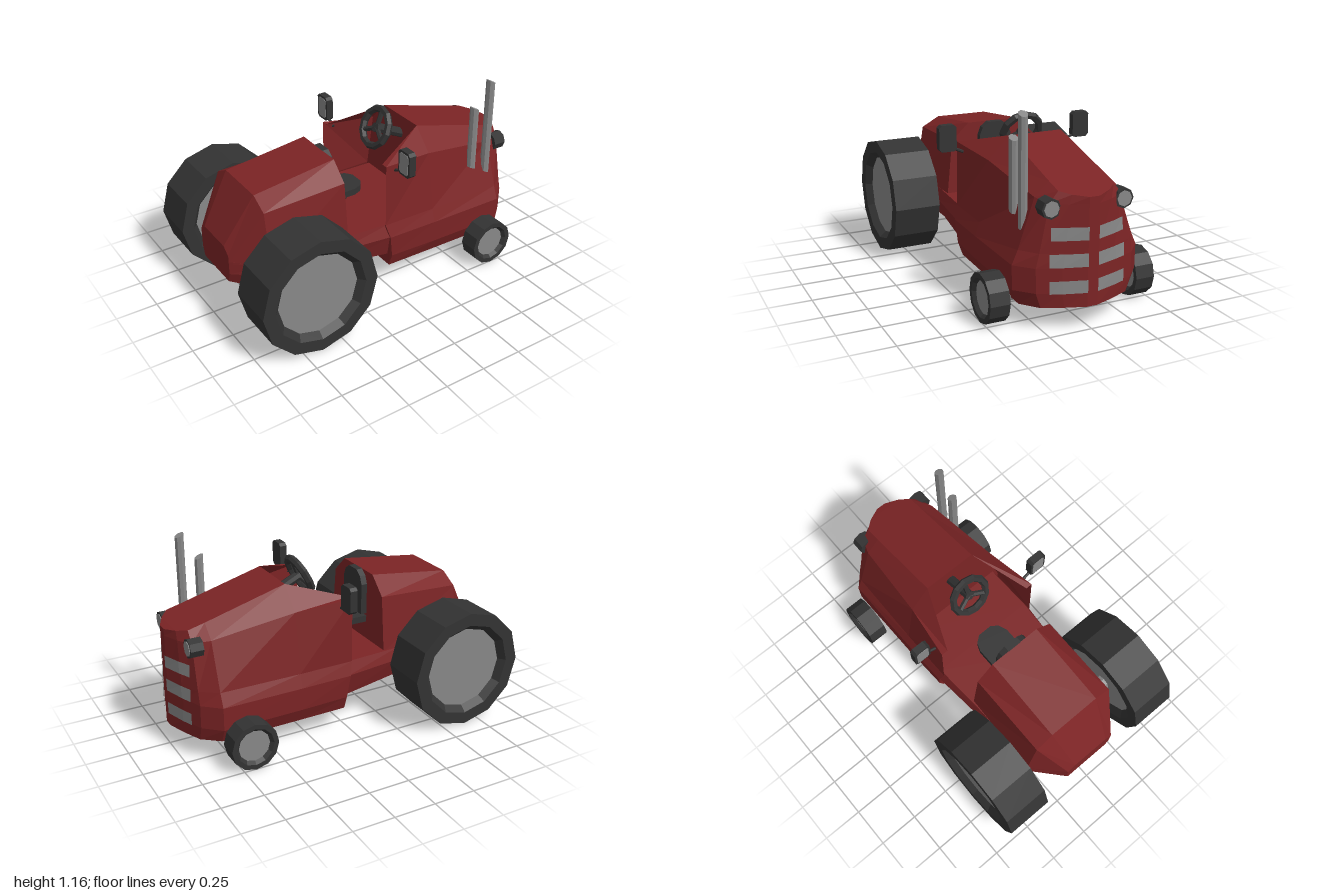
import * as THREE from 'three';

const V = (x, y, z) => new THREE.Vector3(x, y, z);
const paint = (color) => new THREE.MeshStandardMaterial({ color, flatShading: true, side: THREE.DoubleSide });

// Flat-shaded geometry from a list of corner points, three per face
function faces(points) {
  const g = new THREE.BufferGeometry().setFromPoints(points);
  g.computeVertexNormals();
  return g;
}

// Half section [x, y, z] listed bottom to top, mirrored into a full ring
const ring = (half) => {
  const left = half.map((p) => V(...p));
  return [...left, ...left.slice().reverse().map((p) => V(p.x, p.y, -p.z))];
};

function cap(r, flip) {
  const out = [];
  for (let i = 1; i < r.length - 1; i++) out.push(r[0], ...(flip ? [r[i + 1], r[i]] : [r[i], r[i + 1]]));
  return out;
}

// Skin between successive rings; openTop leaves out the roof of the first bay
function loft(halves, { capStart = true, capEnd = true, openTop = false } = {}) {
  const rings = halves.map(ring), n = rings[0].length, out = [];
  for (let k = 0; k < rings.length - 1; k++) {
    for (let j = 0; j < n; j++) {
      if (openTop && k === 0 && j === n / 2 - 1) continue;
      const i = (j + 1) % n;
      const a = rings[k][j], b = rings[k + 1][j], c = rings[k + 1][i], d = rings[k][i];
      out.push(a, b, c, a, c, d);
    }
  }
  if (capStart) out.push(...cap(rings[0], false));
  if (capEnd) out.push(...cap(rings[rings.length - 1], true));
  return faces(out);
}

// Hood stations: sill, low side, side, belt, shoulder, top
const HOOD = [
  [[.02, .135, .33], [.02, .22, .36], [.0, .36, .37], [-.02, .44, .345], [-.02, .83, .34], [-.02, .83, .3]],
  [[.32, .135, .335], [.32, .22, .372], [.32, .36, .377], [.32, .44, .35], [.32, .795, .29], [.32, .925, .165]],
  [[.81, .135, .34], [.81, .22, .378], [.81, .36, .38], [.81, .44, .345], [.81, .715, .25], [.81, .79, .165]],
  [[.91, .135, .26], [.91, .22, .288], [.91, .36, .29], [.91, .44, .27], [.91, .705, .215], [.91, .765, .165]],
  [[.96, .135, .145], [.96, .22, .16], [.96, .36, .16], [.96, .44, .15], [.96, .7, .125], [.96, .752, .11]],
  [[1, .135, .03], [1, .22, .03], [1, .36, .03], [1, .44, .03], [1, .7, .03], [1, .74, .03]],
];

// Width of a hood station at height y
function widthAt(station, y) {
  let j = 0;
  while (j < 4 && station[j + 1][1] < y) j++;
  const [a, b] = [station[j], station[j + 1]];
  return THREE.MathUtils.lerp(a[2], b[2], (y - a[1]) / (b[1] - a[1]));
}

// Grille slot that follows the folded nose
function slot(y0, y1, zEnd, side) {
  const column = (y) => {
    const zs = [5, 4, 3].map((k) => widthAt(HOOD[k], y));
    const xEnd = THREE.MathUtils.lerp(.96, .91, (zEnd - zs[1]) / (zs[2] - zs[1]));
    return [[1, zs[0]], [.96, zs[1]], [xEnd, zEnd]].map(([x, z]) => V(x + .006, y, z * side));
  };
  const lo = column(y0), hi = column(y1), out = [];
  for (let i = 0; i < 2; i++) {
    const q = side > 0 ? [lo[i + 1], lo[i], hi[i], hi[i + 1]] : [lo[i], lo[i + 1], hi[i + 1], hi[i]];
    out.push(q[0], q[1], q[2], q[0], q[2], q[3]);
  }
  return faces(out);
}

export function createModel() {
  const model = new THREE.Group();
  const red = paint(0x7c2425), dark = paint(0x333333), grey = paint(0x888888);

  const add = (name, geometry, material, parent = model) => {
    const mesh = new THREE.Mesh(geometry, material);
    mesh.name = name;
    parent.add(mesh);
    return mesh;
  };
  // Straight round bar between two points
  const bar = (name, a, b, r, material, sides = 8, parent = model) => {
    const m = add(name, new THREE.CylinderGeometry(r, r, a.distanceTo(b), sides), material, parent);
    m.position.copy(a).add(b).multiplyScalar(.5);
    m.quaternion.setFromUnitVectors(V(0, 1, 0), b.clone().sub(a).normalize());
    return m;
  };

  // Bodywork
  add('hood', loft(HOOD, { capStart: false, openTop: true }), red);
  add('firewall', faces(cap(ring(HOOD[1]), false)), red);
  add('hoodRearPanel', faces(cap(ring(HOOD[0].slice(0, 4)), false)), red);
  add('chassis', loft([
    [[-.955, .3, .15], [-.955, .36, .17], [-.955, .44, .17]],
    [[-.775, .26, .3], [-.775, .37, .335], [-.775, .44, .325]],
    [[-.35, .26, .3], [-.35, .37, .333], [-.35, .44, .315]],
    [[.02, .22, .33], [.02, .36, .366], [.02, .44, .338]],
    [[.33, .22, .3], [.33, .36, .34], [.33, .44, .33]],
  ]), red);
  add('tail', loft([
    [[-.955, .43, .17], [-.955, .48, .17], [-.955, .52, .12]],
    [[-.775, .43, .33], [-.775, .75, .275], [-.775, .81, .165]],
    [[-.26, .43, .31], [-.26, .77, .275], [-.26, .875, .165]],
  ]), red);

  // Grille slots, three rows each side
  for (const side of [1, -1])
    for (const [y0, y1, z] of [[.216, .288, .225], [.362, .436, .225], [.508, .58, .215]])
      add('grilleSlot', slot(y0, y1, z, side), grey);

  // Wheels and axles
  const wheel = (name, x, y, z, R, face, rim, h, dish) => {
    const g = new THREE.Group();
    g.name = name;
    const profile = [[rim, dish - h], [face, -h], [R, -h], [R, h], [face, h], [rim, h - dish]];
    add('tyre', new THREE.LatheGeometry(profile.map((p) => new THREE.Vector2(...p)), 12), dark, g);
    add('hub', new THREE.CylinderGeometry(rim, rim, 2 * (h - dish), 12), grey, g);
    g.rotation.x = Math.PI / 2;
    g.position.set(x, y, z);
    model.add(g);
  };
  for (const s of [1, -1]) {
    wheel('rearWheel', -.64, .363, s * .498, .36, .285, .25, .142, .04);
    wheel('frontWheel', .68, .146, s * .448, .142, .113, .095, .058, .02);
  }
  bar('rearAxle', V(-.66, .363, -.4), V(-.66, .363, .4), .048, grey);
  bar('frontAxle', V(.68, .147, -.41), V(.68, .147, .41), .045, grey);

  // Exhaust pipes with slanted ends
  for (const [x, y0, y1] of [[.65, .6, 1.0], [.762, .54, 1.15]]) {
    const g = new THREE.CylinderGeometry(.027, .027, y1 - y0, 8);
    const p = g.attributes.position;
    for (let i = 0; i < p.count; i++) p.setY(i, p.getY(i) - p.getX(i) * .5);
    add('exhaustPipe', g, grey).position.set(x, (y0 + y1) / 2, .293);
  }

  // Headlamps and mirrors
  for (const s of [1, -1]) {
    bar('headlampCase', V(.86, .682, s * .216), V(.938, .682, s * .216), .056, dark);
    bar('headlampLens', V(.93, .682, s * .216), V(.942, .682, s * .216), .044, grey);

    const outline = (w, h, c) => new THREE.Shape([
      [-w + c, -h], [w - c, -h], [w, c - h], [w, h - c], [w - c, h], [c - w, h], [-w, h - c], [-w, c - h],
    ].map((p) => new THREE.Vector2(...p)));
    const mirror = new THREE.Group();
    mirror.name = 'mirror';
    add('mirrorCase', new THREE.ExtrudeGeometry(outline(.053, .078, .016), { depth: .044, bevelEnabled: false }), dark, mirror);
    add('mirrorGlass', new THREE.ExtrudeGeometry(outline(.04, .064, .012), { depth: .004, bevelEnabled: false }), grey, mirror)
      .position.z = -.003;
    mirror.rotation.y = Math.PI / 2;
    mirror.position.set(.034, .878, s * .433);
    model.add(mirror);
    bar('mirrorArm', V(.05, .785, s * .33), V(.055, .825, s * .42), .009, dark, 6);
  }

  // Seat: rounded pan and backrest share one outline
  const seatShape = (length) => {
    const s = new THREE.Shape();
    s.moveTo(-.105, 0).lineTo(-.105, length - .08).lineTo(-.085, length - .03).lineTo(-.045, length);
    s.lineTo(.045, length).lineTo(.085, length - .03).lineTo(.105, length - .08).lineTo(.105, 0);
    return new THREE.ExtrudeGeometry(s, { depth: .04, bevelEnabled: false });
  };
  const pan = add('seatPan', seatShape(.265), dark);
  pan.rotation.set(Math.PI / 2, 0, -Math.PI / 2);
  pan.position.set(-.262, .59, 0);
  const back = add('seatBack', seatShape(.27), dark);
  back.rotation.y = Math.PI / 2;
  back.position.set(-.262, .605, 0);
  bar('seatStrut', V(-.115, .435, 0), V(-.025, .555, 0), .011, dark, 6);

  // Steering wheel, tilted towards the driver
  const steering = new THREE.Group();
  steering.name = 'steeringWheel';
  add('steeringRim', new THREE.TorusGeometry(.115, .023, 6, 12), dark, steering);
  for (let i = 0; i < 3; i++) {
    const a = Math.PI * (.5 + i * 2 / 3);
    bar('steeringSpoke', V(0, 0, -.01), V(Math.cos(a) * .112, Math.sin(a) * .112, 0), .016, dark, 6, steering);
  }
  steering.position.set(.14, .895, 0);
  steering.lookAt(.14 - .9, .895 + .43, 0);
  model.add(steering);
  bar('steeringColumn', V(.135, .897, 0), V(.34, .8, 0), .03, dark);

  return model;
}
